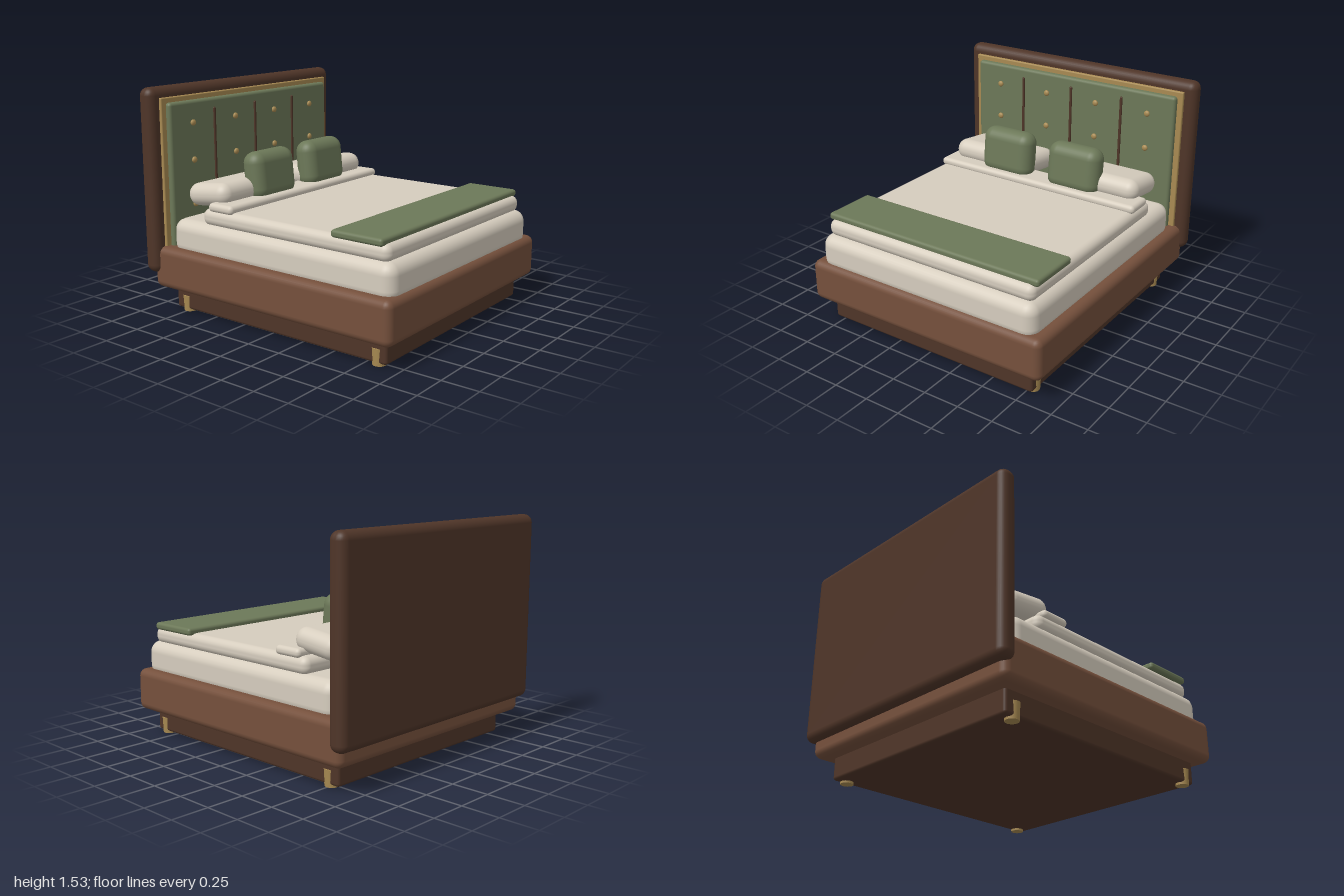
import * as THREE from 'three';
import { RoundedBoxGeometry } from 'three/addons/geometries/RoundedBoxGeometry.js';

const mat = (color) => new THREE.MeshStandardMaterial({ color });

export function createModel() {
  const bed = new THREE.Group();
  bed.name = 'bed';

  const wood = mat(0x75503c);
  const darkWood = mat(0x4f3528);
  const brass = mat(0xa88a52);
  const green = mat(0x6c7858);
  const linen = mat(0xd6cdbe);

  const add = (name, geometry, material, x, y, z) => {
    const mesh = new THREE.Mesh(geometry, material);
    mesh.name = name;
    mesh.position.set(x, y, z);
    bed.add(mesh);
    return mesh;
  };

  // Rounded block given by its [min, max] extent on each axis
  const block = (name, material, [x0, x1], [y0, y1], [z0, z1], radius, segments = 3) =>
    add(name, new RoundedBoxGeometry(x1 - x0, y1 - y0, z1 - z0, segments, radius), material,
      (x0 + x1) / 2, (y0 + y1) / 2, (z0 + z1) / 2);

  // Base
  block('plinth', darkWood, [-0.805, 0.805], [0.015, 0.2], [-0.84, 0.91], 0.02);
  block('bedFrame', wood, [-0.91, 0.91], [0.165, 0.455], [-0.945, 1], 0.05);

  // Feet
  const footGeometry = new THREE.CylinderGeometry(0.049, 0.044, 0.11, 16);
  for (const x of [-0.767, 0.767]) {
    for (const z of [-0.75, 0.835]) add('foot', footGeometry, brass, x, 0.055, z);
  }

  // Headboard: slab, brass border, upholstered panel
  block('headboard', darkWood, [-0.945, 0.945], [0.27, 1.53], [-1, -0.875], 0.055);
  block('headboardTrim', brass, [-0.865, 0.865], [0.38, 1.46], [-0.9, -0.855], 0.008, 2);
  block('headboardPanel', green, [-0.825, 0.825], [0.42, 1.425], [-0.88, -0.82], 0.022);

  // Panel seams and tufting buttons
  for (const x of [-0.413, 0, 0.413]) {
    block('panelSeam', darkWood, [x - 0.01, x + 0.01], [0.5, 1.36], [-0.83, -0.81], 0.008, 2);
  }
  const buttonGeometry = new THREE.SphereGeometry(0.022, 16, 10);
  for (const x of [-0.62, -0.207, 0.207, 0.62]) {
    for (const y of [0.715, 1.02, 1.275]) {
      add('panelButton', buttonGeometry, brass, x, y, -0.815).scale.z = 0.65;
    }
  }

  // Bedding
  block('mattress', linen, [-0.845, 0.845], [0.4, 0.65], [-0.83, 0.97], 0.08);
  block('duvet', linen, [-0.81, 0.81], [0.635, 0.75], [-0.575, 0.92], 0.05);
  block('duvetFold', linen, [-0.81, 0.81], [0.735, 0.795], [-0.515, -0.305], 0.028);
  block('throwBlanket', green, [-0.825, 0.825], [0.735, 0.785], [0.51, 0.885], 0.02);

  // Pillows and cushions, mirrored
  const pillowGeometry = new RoundedBoxGeometry(0.685, 0.155, 0.365, 4, 0.075);
  const cushionGeometry = new RoundedBoxGeometry(0.41, 0.335, 0.17, 4, 0.08);
  for (const side of [-1, 1]) {
    add('pillow', pillowGeometry, linen, side * 0.42, 0.823, -0.587).rotation.x = -0.12;
    add('cushion', cushionGeometry, green, side * 0.278, 0.918, -0.44).rotation.x = -0.1;
  }

  return bed;
}
